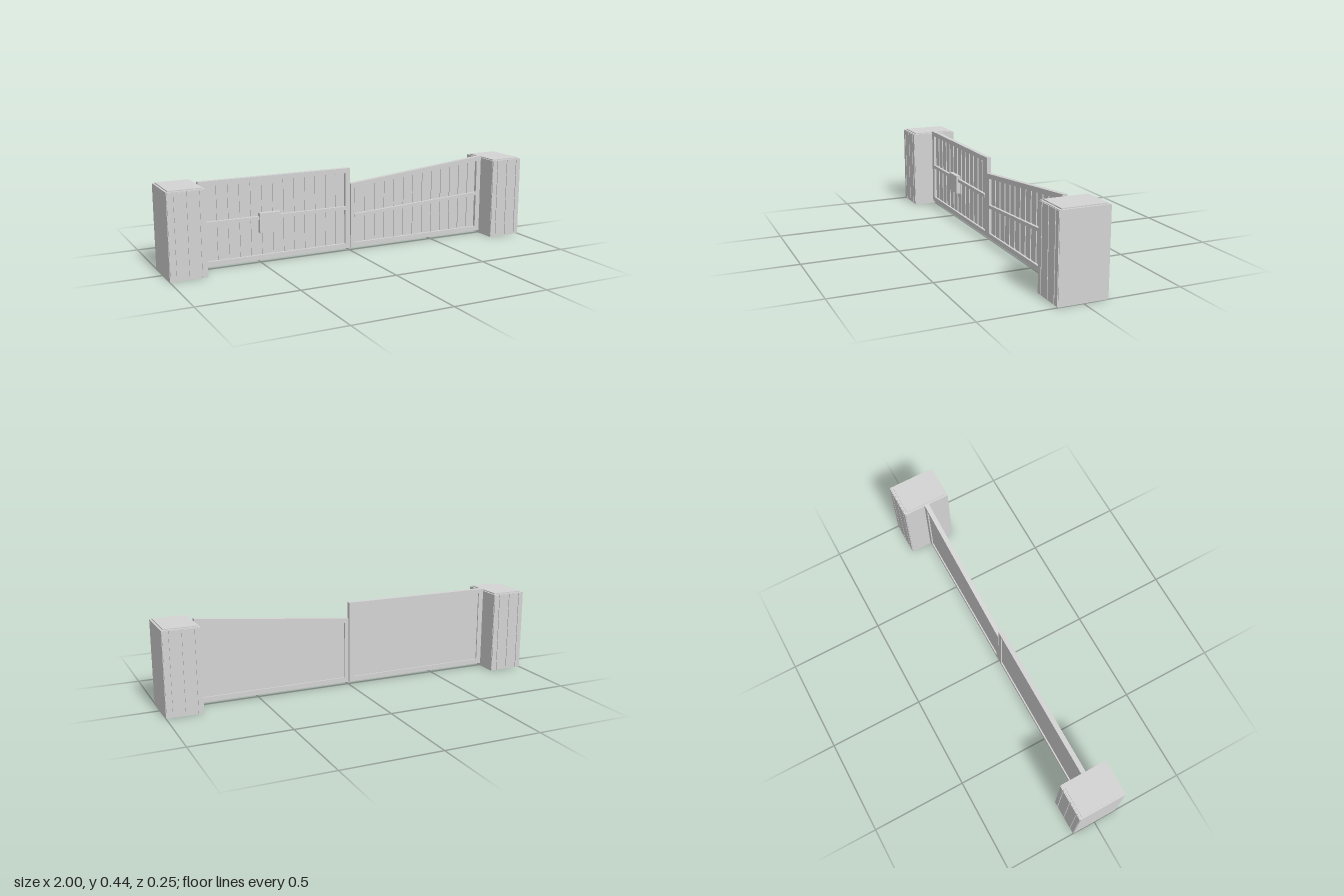
import * as THREE from 'three';

const paint = new THREE.MeshStandardMaterial({ color: 0xd4d4d4 });
paint.name = 'light grey paint';

// Axis-aligned block given by its limits
function block(group, name, x0, x1, y0, y1, z0, z1) {
  const mesh = new THREE.Mesh(new THREE.BoxGeometry(x1 - x0, y1 - y0, z1 - z0), paint);
  mesh.position.set((x0 + x1) / 2, (y0 + y1) / 2, (z0 + z1) / 2);
  mesh.name = name;
  group.add(mesh);
}

// Upright bar from x0 to x1 whose bottom and top edges follow functions of x
function bar(group, name, x0, x1, bottom, top, z0, z1) {
  const shape = new THREE.Shape([
    new THREE.Vector2(x0, bottom(x0)), new THREE.Vector2(x1, bottom(x1)),
    new THREE.Vector2(x1, top(x1)), new THREE.Vector2(x0, top(x0)),
  ]);
  const geometry = new THREE.ExtrudeGeometry(shape, { depth: z1 - z0, bevelEnabled: false });
  geometry.translate(0, 0, z0);
  const mesh = new THREE.Mesh(geometry, paint);
  mesh.name = name;
  group.add(mesh);
}

// Pillar with boards on the front and back and a thin inset cap
function makePillar(name, centre) {
  const pillar = new THREE.Group();
  pillar.name = name;
  block(pillar, 'pillarCore', -0.093, 0.093, 0, 0.429, -0.122, 0.123);
  block(pillar, 'pillarCap', -0.083, 0.083, 0.429, 0.434, -0.111, 0.112);
  const edges = [-0.093, -0.062, 0, 0.062, 0.093], gap = 0.0025;
  for (let i = 0; i < 4; i++) {
    const x0 = edges[i] + gap, x1 = edges[i + 1] - gap;
    block(pillar, 'frontBoard', x0, x1, 0.004, 0.426, 0.122, 0.127);
    block(pillar, 'backBoard', x0, x1, 0.004, 0.426, -0.126, -0.121);
  }
  pillar.position.x = centre;
  return pillar;
}

// Gate leaf: frame, thin back panel, upright slats and a middle rail
function makeLeaf(name, x0, x1, w0, w1, top, middle) {
  const leaf = new THREE.Group();
  leaf.name = name;
  const front = 0.012, back = -0.012, low = 0.014, sill = 0.04, rail = 0.025;
  const a = x0 + w0, b = x1 - w1;
  const flat = (y) => () => y;
  const under = (x) => top(x) - rail;
  bar(leaf, 'stile', x0, a, flat(low), top, back, front);
  bar(leaf, 'stile', b, x1, flat(low), top, back, front);
  bar(leaf, 'topRail', a, b, under, top, back, front);
  bar(leaf, 'bottomRail', a, b, flat(low), flat(sill), back, front);
  bar(leaf, 'panel', a, b, flat(sill), under, -0.005, -0.004);
  const count = 13, pitch = (b - a) / count;
  for (let i = 0; i < count; i++) {
    const left = a + i * pitch;
    bar(leaf, 'slat', left + 0.007, left + pitch - 0.007, flat(sill), under, -0.0045, 0.001);
  }
  bar(leaf, 'middleRail', a, b, (x) => middle(x) - 0.009, (x) => middle(x) + 0.009, -0.002, 0.015);
  return leaf;
}

export function createModel() {
  const gate = new THREE.Group();
  gate.name = 'gate';
  gate.add(makePillar('rightPillar', -0.907), makePillar('leftPillar', 0.907));

  // Level leaf with its lock plate
  const level = makeLeaf('levelLeaf', -0.815, -0.002, 0.028, 0.026, () => 0.441, () => 0.231);
  block(level, 'lockPlate', -0.508, -0.397, 0.156, 0.257, 0, 0.024);
  gate.add(level);

  // Sloping leaf, lowest at the middle of the gate
  const slope = (y0, y1) => (x) => y0 + (y1 - y0) * (x / 0.815);
  gate.add(makeLeaf('slopingLeaf', 0.002, 0.815, 0.022, 0.028, slope(0.358, 0.441), slope(0.185, 0.231)));
  return gate;
}
